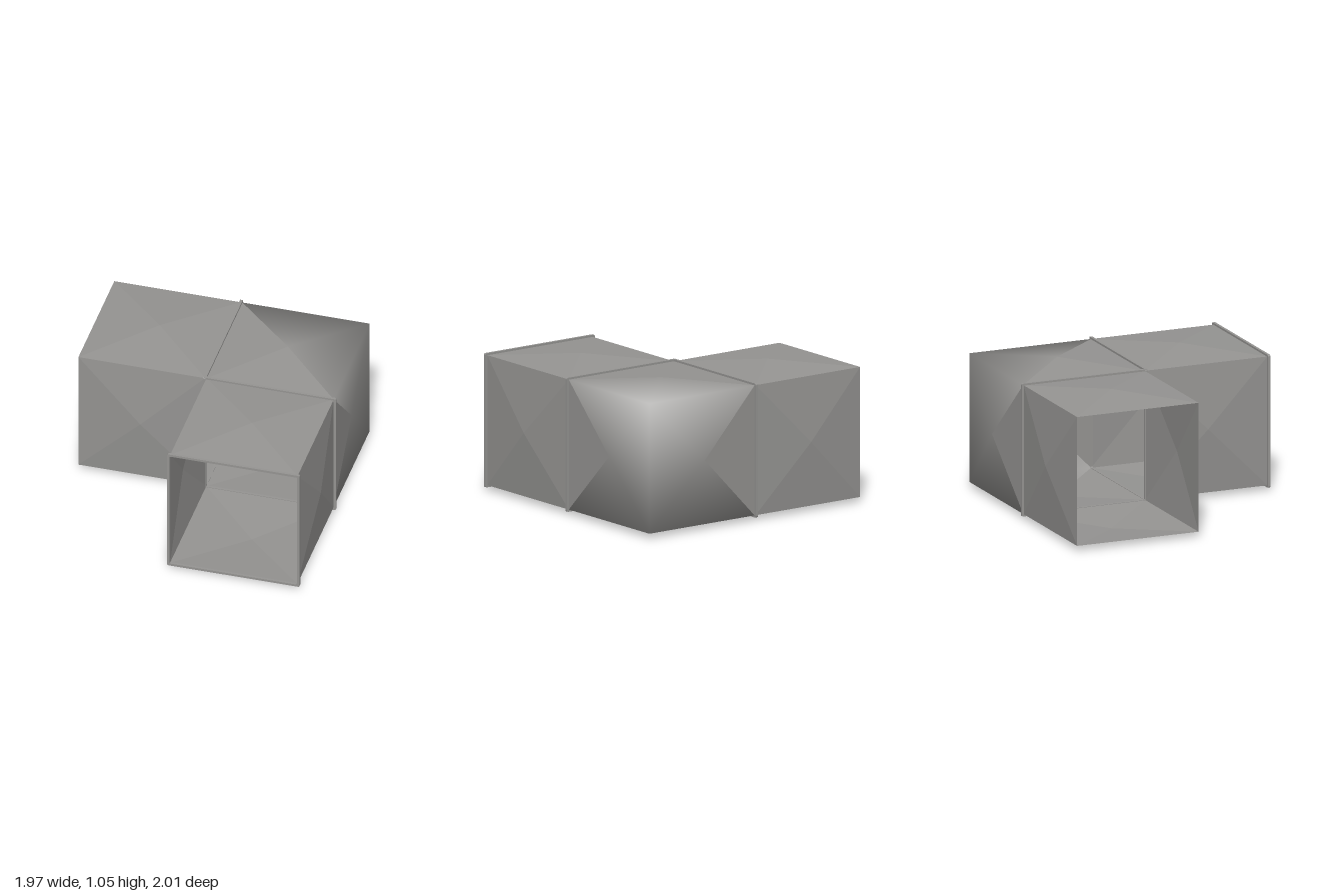
import * as THREE from 'three';

const steel = new THREE.MeshStandardMaterial({ color: 0x959492, side: THREE.DoubleSide });
steel.name = 'galvanised grey';

// Duct cross-section limits
const Y0 = 0.04, Y1 = 1.015, YM = (Y0 + Y1) / 2, BULGE = 0.04;
const X0 = -0.02, X1 = 0.945, Z0 = -0.965, Z1 = 0.005;

function mesh(name, geometry) {
  const m = new THREE.Mesh(geometry, steel);
  m.name = name;
  return m;
}

// Separate triangles give flat facets, shared vertices give smooth ones
function facets(points, triangles, smooth) {
  let g = new THREE.BufferGeometry();
  g.setAttribute('position', new THREE.Float32BufferAttribute(points.flat(), 3));
  g.setIndex(triangles.flat());
  if (!smooth) g = g.toNonIndexed();
  g.computeVertexNormals();
  return g;
}

// Straight open-ended duct along z, each wall a shallow outward pyramid
function straightDuct(name, width, length) {
  const w = width / 2, h = (Y1 - Y0) / 2, l = length / 2;
  const ring = [[-w, -h], [w, -h], [w, h], [-w, h]];
  const pts = [], tris = [];
  ring.forEach(([ax, ay], i) => {
    const [bx, by] = ring[(i + 1) % 4];
    const mx = (ax + bx) / 2, my = (ay + by) / 2;
    const n = pts.length;
    pts.push([ax, ay, l], [ax, ay, -l], [bx, by, -l], [bx, by, l],
      [mx + Math.sign(mx) * BULGE, my + Math.sign(my) * BULGE, 0]);
    for (let k = 0; k < 4; k++) tris.push([n + k, n + (k + 1) % 4, n + 4]);
  });
  return mesh(name, facets(pts, tris, false));
}

// Elbow open towards -x and +z; smooth around the closed back corner
function elbow() {
  const xm = (X0 + X1) / 2, zm = (Z0 + Z1) / 2;
  const pts = [
    [X0, Y0, Z0], [X1, Y0, Z0], [X1, Y0, Z1], [X0, Y0, Z1],
    [X0, Y1, Z0], [X1, Y1, Z0], [X1, Y1, Z1], [X0, Y1, Z1],
    [xm, YM, Z0 - 0.035], [X1, YM, zm],
    [xm, Y1 + BULGE, zm], [xm, Y0 - BULGE, zm],
  ];
  const smooth = [
    [4, 5, 8], [5, 1, 8], [1, 0, 8],
    [5, 6, 9], [2, 1, 9], [1, 5, 9],
    [5, 4, 10], [6, 5, 10],
    [0, 1, 11], [1, 2, 11],
  ];
  const flat = [[0, 4, 8], [6, 2, 9], [4, 7, 10], [7, 6, 10], [2, 3, 11], [3, 0, 11]];
  const g = new THREE.Group();
  g.name = 'elbow';
  g.add(mesh('elbowShell', facets(pts, smooth, true)), mesh('elbowMouthFacets', facets(pts, flat, false)));
  return g;
}

function roundedRect(target, w, h, r) {
  const x = w / 2, y = h / 2, q = Math.PI / 2;
  target.absarc(x - r, y - r, r, 0, q);
  target.absarc(-x + r, y - r, r, q, 2 * q);
  target.absarc(-x + r, -y + r, r, 2 * q, 3 * q);
  target.absarc(x - r, -y + r, r, 3 * q, 4 * q);
  target.closePath();
  return target;
}

// Rectangular joint frame around the duct, in the xy plane
function flange(name) {
  const shape = roundedRect(new THREE.Shape(), 1.005, 1.005, 0.012);
  shape.holes.push(roundedRect(new THREE.Path(), 0.965, 0.97, 0.008));
  const g = new THREE.ExtrudeGeometry(shape, { depth: 0.02, bevelEnabled: false, curveSegments: 3 });
  return mesh(name, g.translate(0, 0, -0.01));
}

export function createModel() {
  const model = new THREE.Group();
  model.name = 'ductCorner';
  const xm = (X0 + X1) / 2, zm = (Z0 + Z1) / 2;

  const front = straightDuct('frontDuct', X1 - X0, 0.98);
  front.position.set(xm, YM, 0.495);

  const side = straightDuct('sideDuct', Z1 - Z0, 0.96);
  side.rotation.y = -Math.PI / 2;
  side.position.set(-0.51, YM, zm);

  const mouth = flange('mouthFlange');
  mouth.position.set(xm, YM, 0.99);
  const frontJoint = flange('frontJointFlange');
  frontJoint.position.set(xm, YM, 0.01);
  const sideJoint = flange('sideJointFlange');
  sideJoint.rotation.y = Math.PI / 2;
  sideJoint.position.set(-0.028, YM, zm);

  model.add(front, side, elbow(), mouth, frontJoint, sideJoint);
  return model;
}
